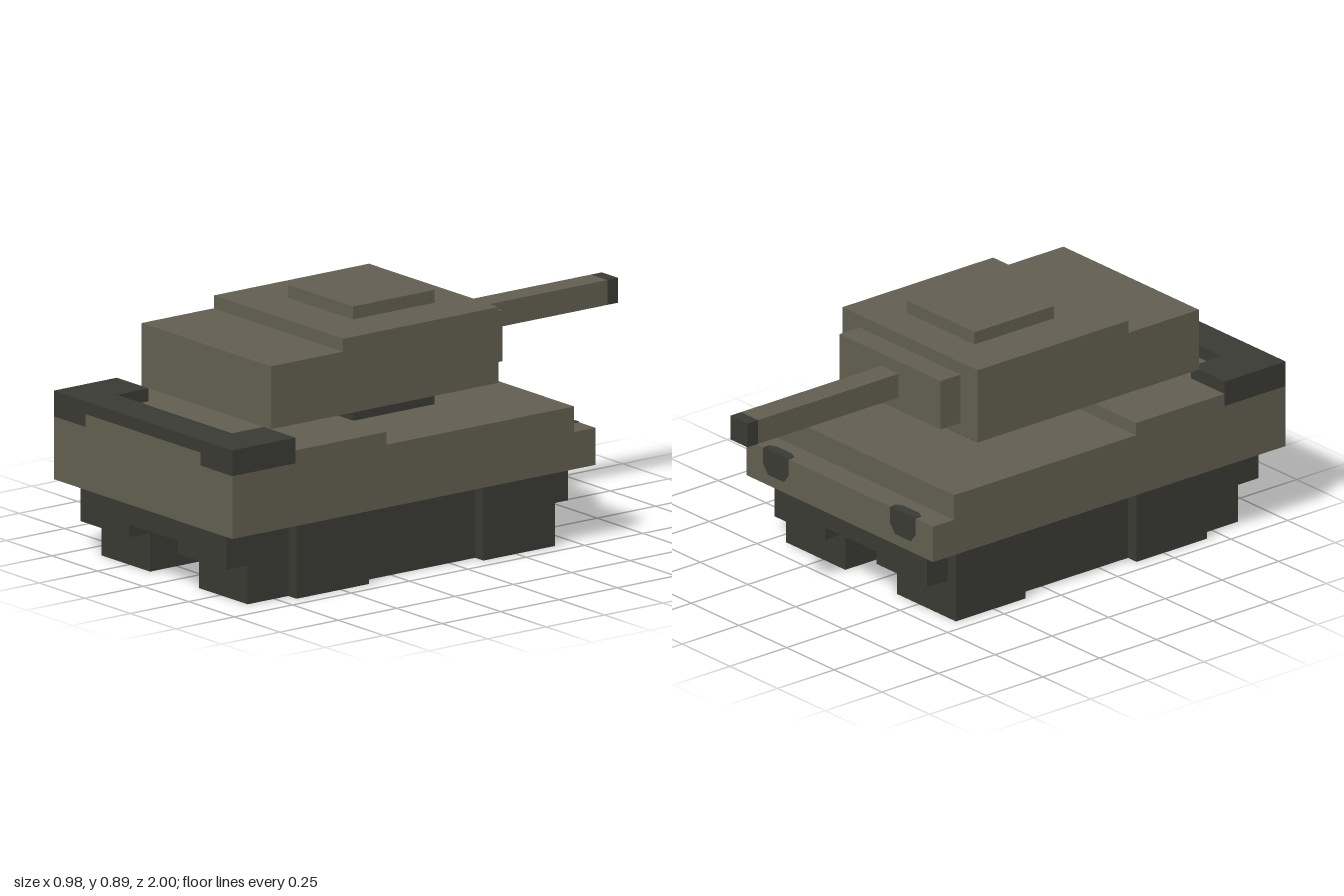
import * as THREE from 'three';

export function createModel() {
  const model = new THREE.Group();
  model.name = 'tank';
  const olive = new THREE.MeshStandardMaterial({ color: 0x625e50 });
  olive.name = 'olive armour';
  const dark = new THREE.MeshStandardMaterial({ color: 0x3a3a34 });
  dark.name = 'dark running gear';

  // Box given by its limits on each axis
  function box(name, mat, [x0, x1], [y0, y1], [z0, z1]) {
    const mesh = new THREE.Mesh(new THREE.BoxGeometry(x1 - x0, y1 - y0, z1 - z0), mat);
    mesh.position.set((x0 + x1) / 2, (y0 + y1) / 2, (z0 + z1) / 2);
    mesh.name = name;
    model.add(mesh);
  }
  // Box repeated on both sides of x = 0
  function pair(name, mat, [x0, x1], y, z) {
    box(name + 'Left', mat, [x0, x1], y, z);
    box(name + 'Right', mat, [-x1, -x0], y, z);
  }

  // Hull
  box('hull', olive, [-0.49, 0.49], [0.27, 0.49], [-0.463, 1]);
  box('hullStep', olive, [-0.49, 0.49], [0.27, 0.4], [-0.555, -0.463]);
  box('raisedDeck', olive, [-0.49, 0.49], [0.49, 0.535], [0.34, 0.73]);
  box('engineDeck', olive, [-0.315, 0.315], [0.49, 0.535], [0.73, 1]);

  // Dark U-shaped rim around the engine deck
  pair('rimArm', dark, [0.315, 0.49], [0.49, 0.58], [0.73, 1]);
  box('rimBar', dark, [-0.315, 0.315], [0.535, 0.58], [0.865, 1]);

  // Turret
  box('turretRing', dark, [-0.178, 0.178], [0.49, 0.58], [-0.11, 0.24]);
  box('turret', olive, [-0.355, 0.355], [0.58, 0.845], [-0.245, 0.42]);
  box('turretBustle', olive, [-0.355, 0.355], [0.58, 0.8], [0.42, 0.73]);
  box('hatch', olive, [-0.178, 0.178], [0.845, 0.89], [-0.11, 0.24]);

  // Gun
  box('mantlet', olive, [-0.265, 0.265], [0.622, 0.8], [-0.333, -0.245]);
  box('gunBarrel', olive, [-0.045, 0.045], [0.668, 0.755], [-0.953, -0.333]);
  box('muzzle', dark, [-0.045, 0.045], [0.668, 0.755], [-1, -0.953]);

  // Tracks: long lower run, overhanging ends and wider side blocks
  box('belly', dark, [-0.135, 0.135], [0.18, 0.27], [-0.507, 0.955]);
  pair('trackUpper', dark, [0.135, 0.4], [0.135, 0.27], [-0.507, 0.955]);
  pair('trackLower', dark, [0.135, 0.4], [0, 0.135], [-0.417, 0.865]);
  pair('frontTrackBlock', dark, [0.4, 0.445], [0, 0.27], [0.38, 0.69]);
  pair('rearTrackBlock', dark, [0.4, 0.445], [0, 0.27], [-0.417, -0.11]);

  // Lamps: thin plates wrapped over the edge of the hull step
  function lampPlate(depth) {
    const c = depth * 0.35;
    const shape = new THREE.Shape([[-0.065, 0], [-0.065, c - depth], [-0.04, -depth],
      [0.04, -depth], [0.065, c - depth], [0.065, 0]].map(p => new THREE.Vector2(...p)));
    return new THREE.ExtrudeGeometry(shape, { depth: 0.003, bevelEnabled: false });
  }
  for (const side of [-1, 1]) {
    const lamp = new THREE.Group();
    lamp.name = side > 0 ? 'lampLeft' : 'lampRight';
    const face = new THREE.Mesh(lampPlate(0.09), dark);
    face.name = 'lampFace';
    face.position.z = -0.003;
    const top = new THREE.Mesh(lampPlate(0.036), dark);
    top.name = 'lampTop';
    top.rotation.x = -Math.PI / 2;
    lamp.add(face, top);
    lamp.position.set(side * 0.333, 0.4, -0.555);
    model.add(lamp);
  }
  return model;
}
